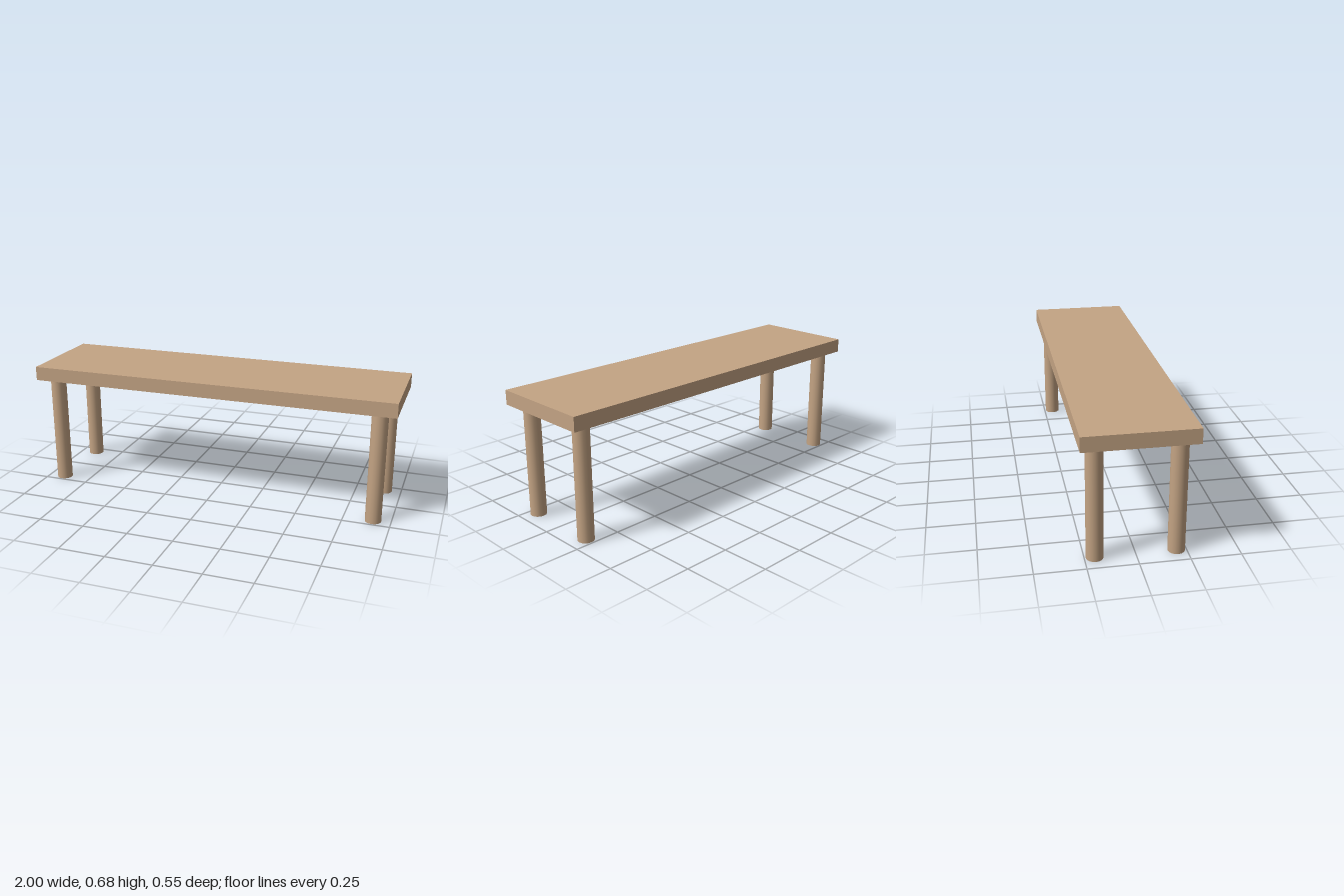
import * as THREE from 'three';

export function createModel() {
  const model = new THREE.Group();
  model.name = 'bench';
  const wood = new THREE.MeshStandardMaterial({ color: 0xc4a484 });

  const legHeight = 0.602, legRadius = 0.043;
  const topThickness = 0.076;

  // Flat plank seat
  const seat = new THREE.Mesh(new THREE.BoxGeometry(2, topThickness, 0.554), wood);
  seat.name = 'seat';
  seat.position.y = legHeight + topThickness / 2;
  model.add(seat);

  // Four round legs, one near each corner
  const legGeometry = new THREE.CylinderGeometry(legRadius, legRadius, legHeight, 16);
  for (const [zName, z] of [['front', 0.2], ['back', -0.2]]) {
    for (const [xName, x] of [['Left', 0.907], ['Right', -0.907]]) {
      const leg = new THREE.Mesh(legGeometry, wood);
      leg.name = `${zName}${xName}Leg`;
      leg.position.set(x, legHeight / 2, z);
      model.add(leg);
    }
  }

  return model;
}
